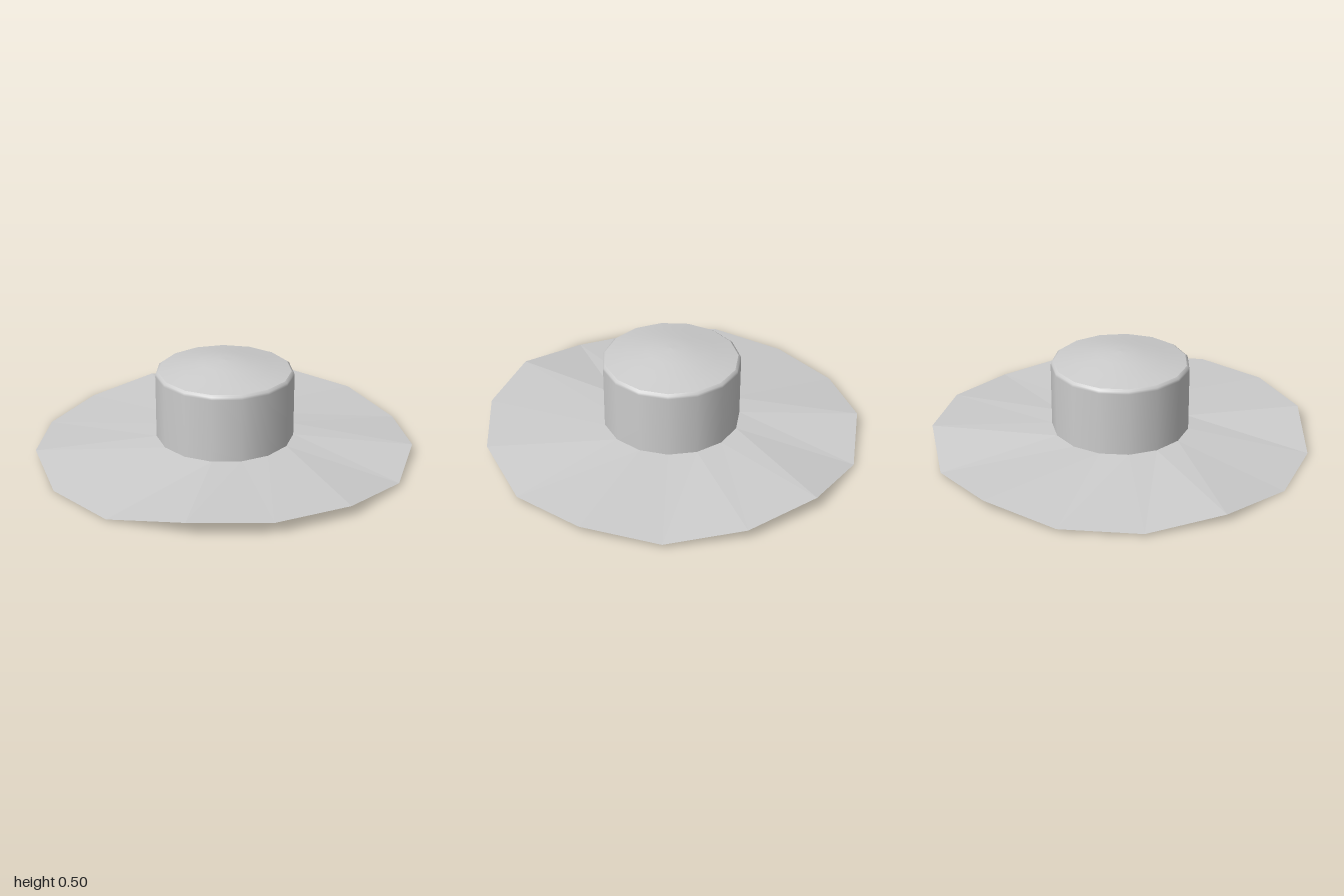
import * as THREE from 'three';

const SIDES = 15;

export function createModel() {
  const hat = new THREE.Group();
  hat.name = 'hat';
  const smooth = new THREE.MeshStandardMaterial({ color: 0xcccccc, side: THREE.DoubleSide });
  const flat = new THREE.MeshStandardMaterial({ color: 0xcccccc, side: THREE.DoubleSide, flatShading: true });

  const add = (name, geometry, material) => {
    const mesh = new THREE.Mesh(geometry, material);
    mesh.name = name;
    hat.add(mesh);
  };

  // Revolve a profile with corners lined up on +x
  const lathe = (profile) => new THREE.LatheGeometry(
    profile.map(([r, y]) => new THREE.Vector2(r, y)), SIDES, Math.PI / 2);

  // Crown: open tube with a softened top edge
  add('crown', lathe([[0.365, 0.085], [0.365, 0.425], [0.362, 0.438], [0.35, 0.447]]), smooth);

  // Shallow domed top
  add('crownTop', lathe([[0.35, 0.447], [0.24, 0.468], [0.13, 0.49], [0.06, 0.497], [0, 0.5]]), smooth);

  // Wavy brim: rim heights run from +x round through +z
  const rimHeights = [0.06, 0.068, 0.075, 0.006, 0.002, 0.038, 0.013, 0.016,
    0.05, 0.014, 0.073, 0.055, 0.022, 0.045, 0.02];
  const positions = [];
  const index = [];
  for (let i = 0; i < SIDES; i++) {
    const a = (i / SIDES) * Math.PI * 2;
    const c = Math.cos(a), s = Math.sin(a);
    positions.push(0.365 * c, 0.085, 0.365 * s);
    positions.push(c - 0.006, rimHeights[i], s);
    const inner = i * 2, outer = inner + 1;
    const nextInner = ((i + 1) % SIDES) * 2, nextOuter = nextInner + 1;
    index.push(inner, nextOuter, outer, inner, nextInner, nextOuter);
  }
  const brim = new THREE.BufferGeometry();
  brim.setAttribute('position', new THREE.Float32BufferAttribute(positions, 3));
  brim.setIndex(index);
  brim.computeVertexNormals();
  add('brim', brim, flat);

  return hat;
}
